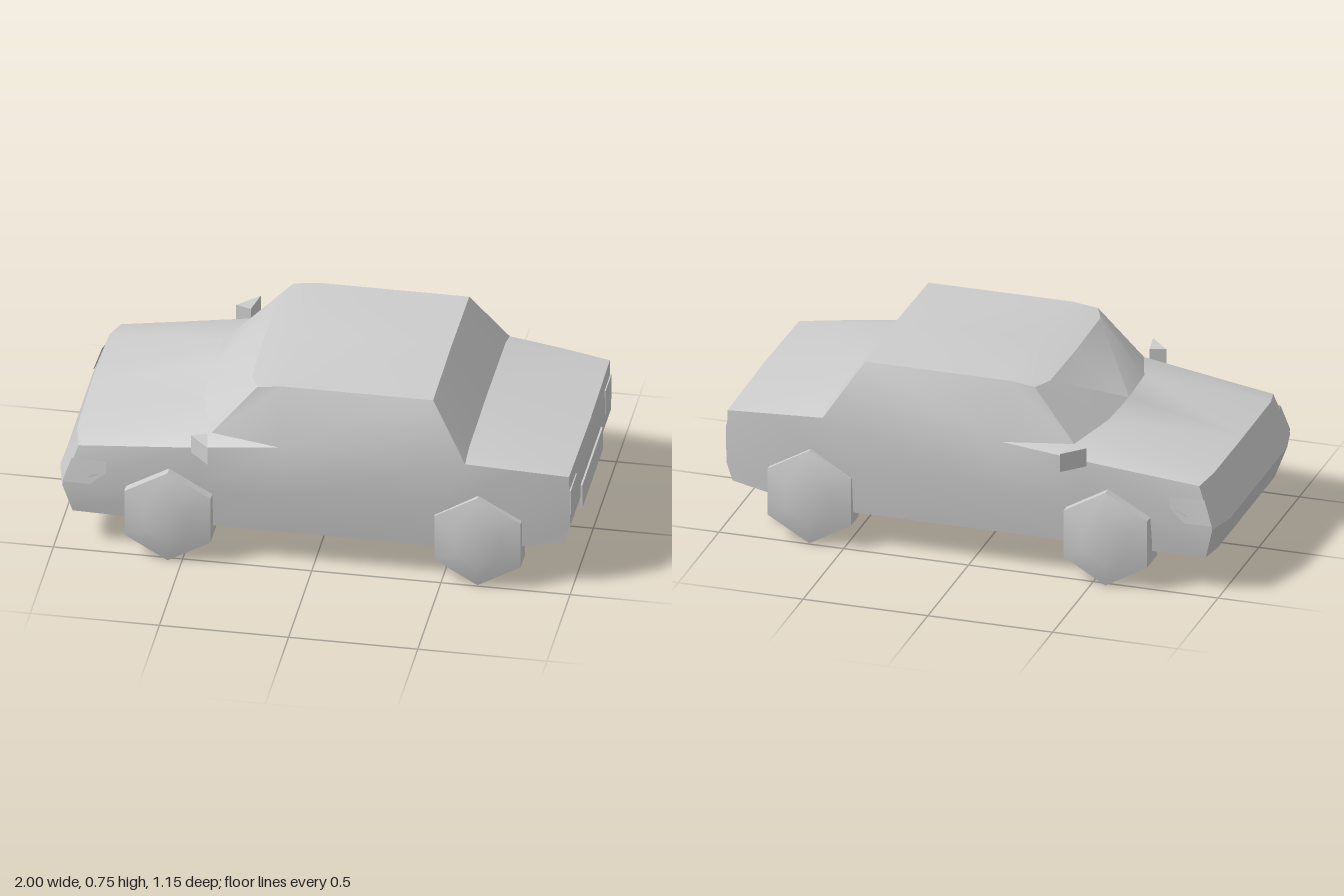
import * as THREE from 'three';
import { toCreasedNormals } from 'three/addons/utils/BufferGeometryUtils.js';

const paint = new THREE.MeshStandardMaterial({ color: 0xcccccc, side: THREE.DoubleSide });
paint.name = 'grey paint';

// Skins rows of [x, y, z] points on the left side and mirrors them to the right.
function mirroredLoft(rows, crease) {
  const pos = [];
  const tri = (a, b, c) => {
    const [p, q, r] = [a, b, c].map((v) => new THREE.Vector3(...v));
    if (q.clone().sub(p).cross(r.clone().sub(p)).length() < 1e-6) return;
    pos.push(...a, ...b, ...c);
    for (const v of [a, c, b]) pos.push(v[0], v[1], -v[2]);
  };
  for (let r = 0; r < rows.length - 1; r++) {
    for (let s = 0; s < rows[r].length - 1; s++) {
      const a = rows[r][s], b = rows[r][s + 1], c = rows[r + 1][s + 1], d = rows[r + 1][s];
      tri(a, b, c);
      tri(a, c, d);
    }
  }
  const g = new THREE.BufferGeometry();
  g.setAttribute('position', new THREE.Float32BufferAttribute(pos, 3));
  return toCreasedNormals(g, crease);
}

function add(group, name, geometry, x = 0, y = 0, z = 0) {
  const mesh = new THREE.Mesh(geometry, paint);
  mesh.name = name;
  mesh.position.set(x, y, z);
  group.add(mesh);
  return mesh;
}

export function createModel() {
  const car = new THREE.Group();
  car.name = 'car';

  // Body shell, open below: each row runs from nose centre to tail centre
  const sill = [[-0.95, 0.14, 0], [-0.95, 0.14, 0.35], [-0.935, 0.14, 0.45], [-0.45, 0.14, 0.465], [-0.13, 0.14, 0.465],
    [0.47, 0.14, 0.465], [0.8, 0.17, 0.46], [0.965, 0.195, 0.44], [0.97, 0.195, 0]];
  const bumper = [[-1, 0.27, 0], [-1, 0.27, 0.35], [-0.97, 0.27, 0.48], [-0.45, 0.3, 0.483], [-0.13, 0.3, 0.485],
    [0.47, 0.3, 0.485], [0.8, 0.3, 0.472], [0.99, 0.27, 0.44], [0.99, 0.27, 0]];
  const shoulder = [[-0.94, 0.455, 0], [-0.935, 0.45, 0.35], [-0.91, 0.435, 0.455], [-0.45, 0.49, 0.485], [-0.13, 0.525, 0.485],
    [0.59, 0.525, 0.482], [0.8, 0.505, 0.462], [0.985, 0.485, 0.44], [0.99, 0.487, 0]];
  const glassBase = [[-0.48, 0.555, 0], [-0.47, 0.552, 0.22], [-0.4, 0.53, 0.43], [-0.4, 0.53, 0.43], [-0.13, 0.525, 0.485],
    [0.59, 0.525, 0.482], [0.59, 0.525, 0.482], [0.59, 0.548, 0.395], [0.59, 0.555, 0]];
  const roofEdge = [[-0.27, 0.725, 0], [-0.265, 0.725, 0.31], [-0.23, 0.727, 0.39], [-0.23, 0.727, 0.39], [-0.13, 0.74, 0.39],
    [0.45, 0.74, 0.39], [0.45, 0.74, 0.39], [0.45, 0.74, 0.39], [0.45, 0.748, 0]];
  const roofSpine = [-0.27, -0.26, -0.23, -0.23, -0.13, 0.45, 0.45, 0.45, 0.45]
    .map((x) => [x, x < -0.2 ? 0.725 + (x + 0.27) * 0.16 : 0.748, 0]);
  add(car, 'body', mirroredLoft([sill, bumper, shoulder, glassBase, roofEdge, roofSpine], 0.5));

  // Wrap-around headlights
  add(car, 'headlights', mirroredLoft([
    [[-0.999, 0.285, 0.35], [-0.969, 0.285, 0.482], [-0.86, 0.285, 0.484], [-0.8, 0.34, 0.482]],
    [[-0.964, 0.385, 0.35], [-0.935, 0.385, 0.469], [-0.86, 0.385, 0.473], [-0.8, 0.385, 0.477]],
  ], 0.5));

  // Number plate panel
  add(car, 'rearPanel', new THREE.BoxGeometry(0.009, 0.1, 0.44), 0.993, 0.27, 0);

  for (const side of [1, -1]) {
    const label = side > 0 ? 'front side' : 'back side';

    add(car, `tail light ${label}`, new THREE.BoxGeometry(0.008, 0.105, 0.13), 0.988, 0.372, side * 0.375);

    // Hexagonal wheels, hollow on the inner face; the nose pair sits further out
    for (const [name, x, rim] of [['nose wheel', -0.555, 0.52], ['tail wheel', 0.64, 0.493]]) {
      const profile = [[0.193, 0.4], [0.193, rim], [0.1, rim + 0.024], [0, rim + 0.024]];
      const hex = new THREE.LatheGeometry(profile.map((p) => new THREE.Vector2(...p)).reverse(), 6);
      const wheel = add(car, `${name} ${label}`, toCreasedNormals(hex, 0.6), x, 0.193, 0);
      wheel.rotation.x = side * Math.PI / 2;
    }

    // Wedge-shaped door mirrors
    const wedge = new THREE.Shape([[-0.39, 0.573], [-0.47, 0.49], [-0.41, 0.47]]
      .map(([x, z]) => new THREE.Vector2(x, side * z)));
    const mirror = new THREE.ExtrudeGeometry(wedge, { depth: 0.075, bevelEnabled: false });
    add(car, `mirror ${label}`, mirror, 0, 0.547, 0).rotation.x = Math.PI / 2;
  }
  return car;
}
